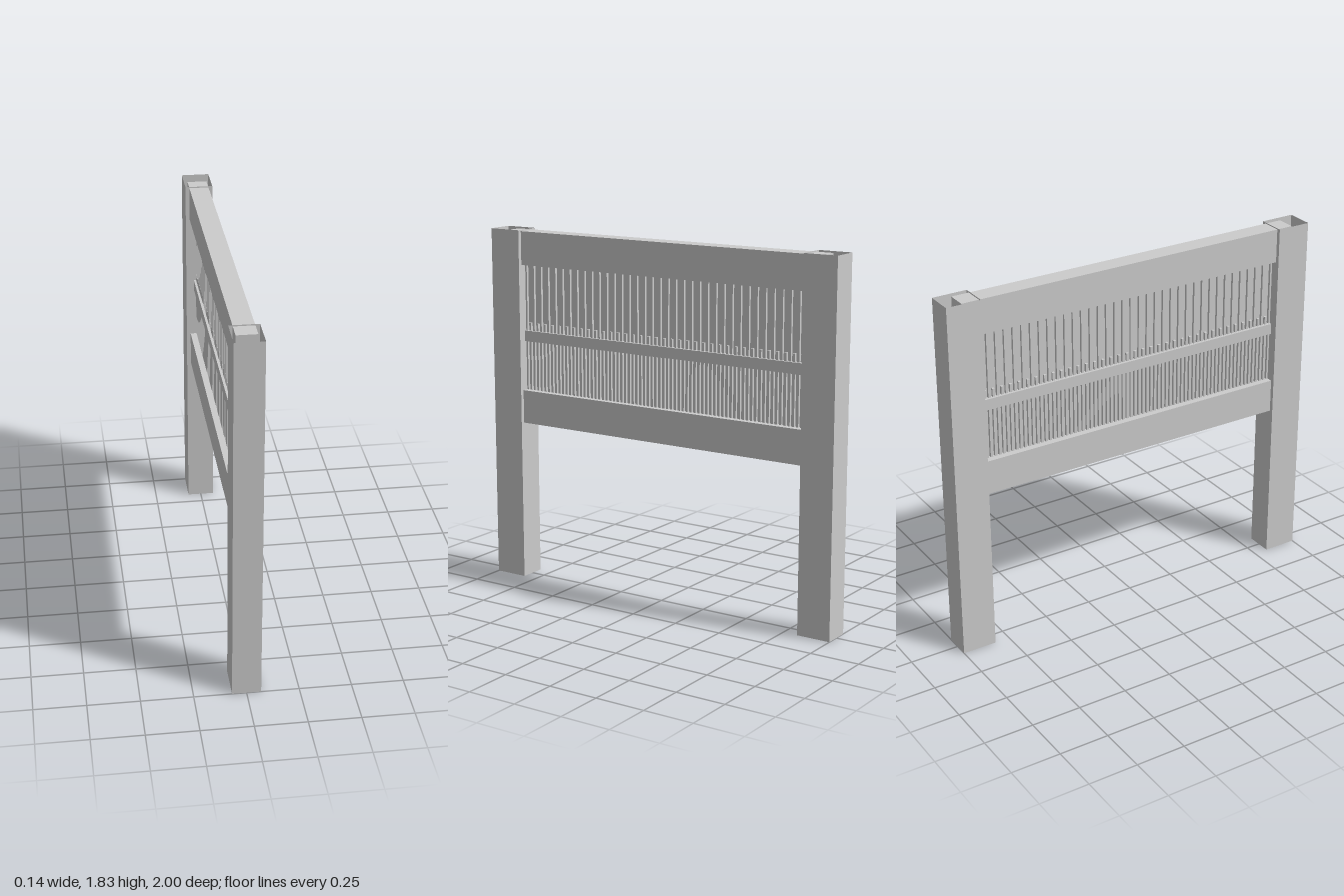
import * as THREE from 'three';

const grey = new THREE.MeshStandardMaterial({ color: 0xcccccc, flatShading: true });
const greyOpen = new THREE.MeshStandardMaterial({ color: 0xcccccc, flatShading: true, side: THREE.DoubleSide });

// Box given by its width, its bottom and top, and its length along z
function bar(name, width, bottom, top, length, z = 0) {
  const mesh = new THREE.Mesh(new THREE.BoxGeometry(width, top - bottom, length), grey);
  mesh.name = name;
  mesh.position.set(0, (bottom + top) / 2, z);
  return mesh;
}

// Hollow rectangular post, open at top and bottom
function post(name, width, height, depth, z) {
  const geometry = new THREE.CylinderGeometry(Math.SQRT1_2, Math.SQRT1_2, height, 4, 1, true);
  geometry.rotateY(Math.PI / 4).scale(width, 1, depth);
  const mesh = new THREE.Mesh(geometry, greyOpen);
  mesh.name = name;
  mesh.position.set(0, height / 2, z);
  return mesh;
}

export function createModel() {
  const model = new THREE.Group();
  model.name = 'fencePanel';

  // Posts
  model.add(post('frontPost', 0.138, 1.828, 0.174, 0.913));
  model.add(post('backPost', 0.138, 1.828, 0.174, -0.913));

  // Rails, running into the middle of the posts
  model.add(bar('topRail', 0.098, 1.65, 1.822, 1.828));
  model.add(bar('bottomRail', 0.098, 0.828, 1.0, 1.828));
  model.add(bar('middleRail', 0.06, 1.255, 1.31, 1.66));

  // Thin infill sheet behind the pickets
  model.add(bar('infillSheet', 0.01, 0.99, 1.66, 1.66));

  // Tall pickets, with short ones between them that end just above the middle rail
  const pickets = new THREE.Group();
  pickets.name = 'pickets';
  const pitch = 0.0457;
  for (let i = -18; i <= 18; i++) {
    pickets.add(bar('tallPicket', 0.036, 0.99, 1.66, 0.0125, i * pitch));
    if (i < 18) pickets.add(bar('shortPicket', 0.036, 0.99, 1.35, 0.0125, (i + 0.5) * pitch));
  }
  model.add(pickets);

  return model;
}
